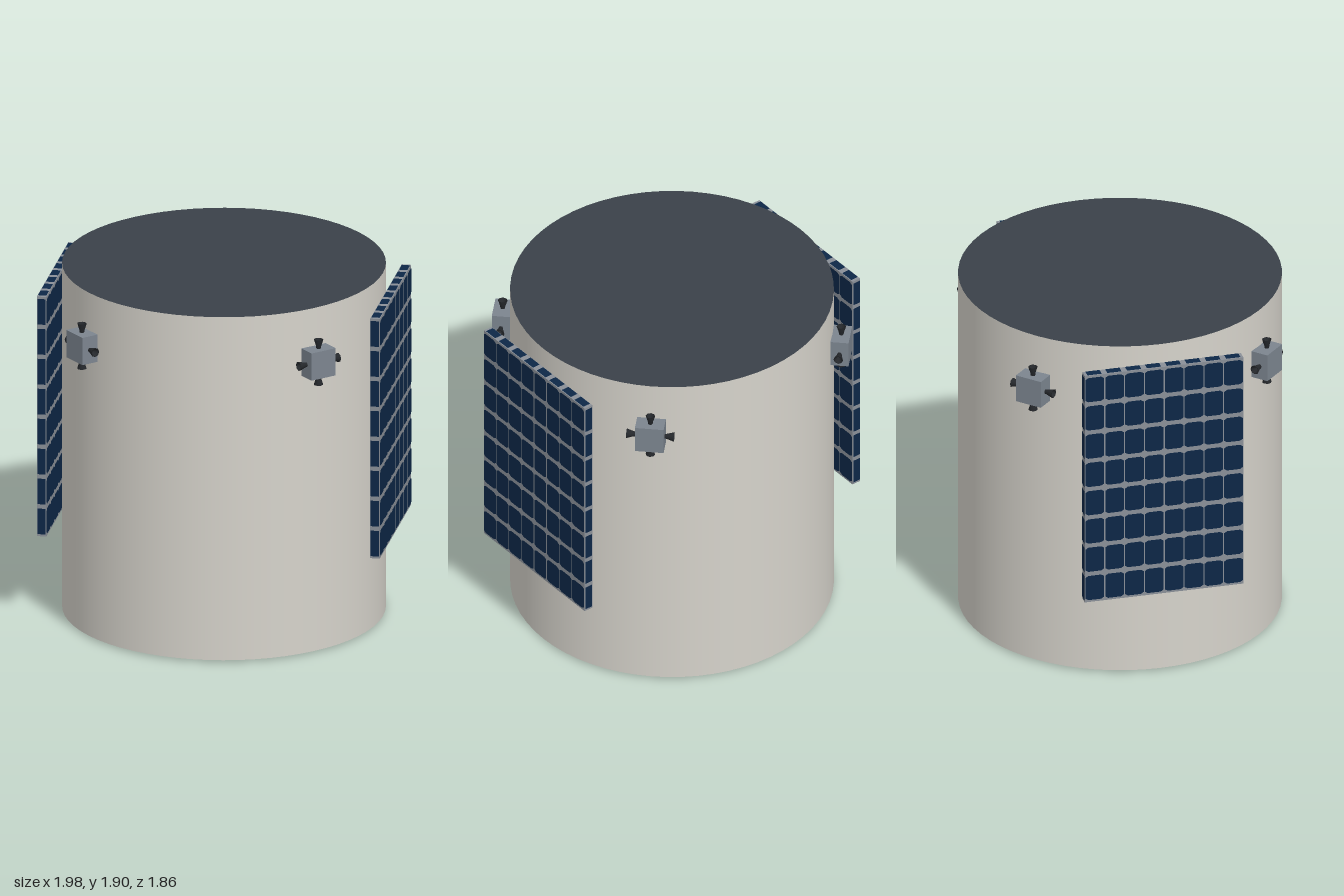
import * as THREE from 'three';
import { mergeGeometries } from 'three/addons/utils/BufferGeometryUtils.js';

const mat = (name, color, side = THREE.FrontSide) => {
  const m = new THREE.MeshStandardMaterial({ color, side });
  m.name = name;
  return m;
};

export function createModel() {
  const hull = mat('hullGrey', 0xd6d3cb);
  const cap = mat('capCharcoal', 0x3a4149);
  const navy = mat('cellNavy', 0x0d2747);
  const frame = mat('panelGrey', 0x8a9098);
  const housing = mat('thrusterGrey', 0x7c858f);
  const nozzleMat = mat('nozzleBlack', 0x25282c, THREE.DoubleSide);

  const model = new THREE.Group();
  model.name = 'satelliteModule';
  const add = (parent, name, geo, material, x = 0, y = 0, z = 0) => {
    const m = new THREE.Mesh(geo, material);
    m.name = name;
    m.position.set(x, y, z);
    parent.add(m);
    return m;
  };

  // Cylindrical hull with dark end caps
  add(model, 'hull', new THREE.CylinderGeometry(0.84, 0.84, 1.89, 64), [hull, cap, cap], 0, 0.955, 0);

  // Solar panel: clipped-corner cells on both faces, plain cells round the edges
  const L = 0.85, H = 1.32, T = 0.05, N = 8;
  const pitchX = L / N, pitchY = H / N;
  const w = (pitchX - 0.006) / 2, h = (pitchY - 0.024) / 2, cx = 0.016, cy = 0.01;
  const cell = new THREE.ShapeGeometry(new THREE.Shape([
    [-w + cx, -h], [w - cx, -h], [w, -h + cy], [w, h - cy],
    [w - cx, h], [-w + cx, h], [-w, h - cy], [-w, -h + cy],
  ].map(([x, y]) => new THREE.Vector2(x, y))));
  const sideCell = new THREE.PlaneGeometry(T - 0.006, h * 2);
  const endCell = new THREE.PlaneGeometry(pitchX - 0.03, T - 0.006);
  const cells = [];
  const off = 0.002;
  for (let i = 0; i < N; i++) {
    const x = (i - (N - 1) / 2) * pitchX;
    const yi = (i - (N - 1) / 2) * pitchY;
    for (let j = 0; j < N; j++) {
      const y = (j - (N - 1) / 2) * pitchY;
      cells.push(cell.clone().translate(x, y, T / 2 + off));
      cells.push(cell.clone().rotateY(Math.PI).translate(x, y, -T / 2 - off));
    }
    for (const s of [-1, 1]) {
      cells.push(sideCell.clone().rotateY(s * Math.PI / 2).translate(s * (L / 2 + off), yi, 0));
      cells.push(endCell.clone().rotateX(-s * Math.PI / 2).translate(x, s * (H / 2 + off), 0));
    }
  }
  const cellGeo = mergeGeometries(cells);
  const backing = new THREE.BoxGeometry(L, H, T);
  const panelAngle = Math.atan2(0.827, -0.562);
  for (let i = 0; i < 2; i++) {
    const a = panelAngle + i * Math.PI;
    const panel = new THREE.Group();
    panel.name = 'solarPanel';
    panel.position.set(Math.sin(a) * 0.881, 1.14, Math.cos(a) * 0.881);
    panel.rotation.y = a;
    add(panel, 'panelBacking', backing, frame);
    add(panel, 'solarCells', cellGeo, navy);
    model.add(panel);
  }

  // Four thruster blocks, each with four flared nozzles, and a foot pad below each
  const block = new THREE.BoxGeometry(0.15, 0.15, 0.095);
  const nozzle = new THREE.LatheGeometry(
    [[0.012, 0], [0.014, 0.015], [0.025, 0.05], [0.02, 0.05], [0.008, 0.02], [0, 0.02]]
      .map(([x, y]) => new THREE.Vector2(x, y)), 8);
  const pad = new THREE.CylinderGeometry(0.03, 0.03, 0.012, 12);
  for (let i = 0; i < 4; i++) {
    const a = -0.193 + i * Math.PI / 2;
    const thruster = new THREE.Group();
    thruster.name = 'thruster';
    thruster.position.set(Math.sin(a) * 0.885, 1.617, Math.cos(a) * 0.885);
    thruster.rotation.y = a;
    add(thruster, 'thrusterBlock', block, housing);
    for (let k = 0; k < 4; k++) {
      const b = k * Math.PI / 2;
      add(thruster, 'nozzle', nozzle, nozzleMat, -Math.sin(b) * 0.074, Math.cos(b) * 0.074, 0).rotation.z = b;
    }
    model.add(thruster);
    add(model, 'footPad', pad, cap, Math.sin(a) * 0.745, 0.006, Math.cos(a) * 0.745);
  }
  return model;
}
